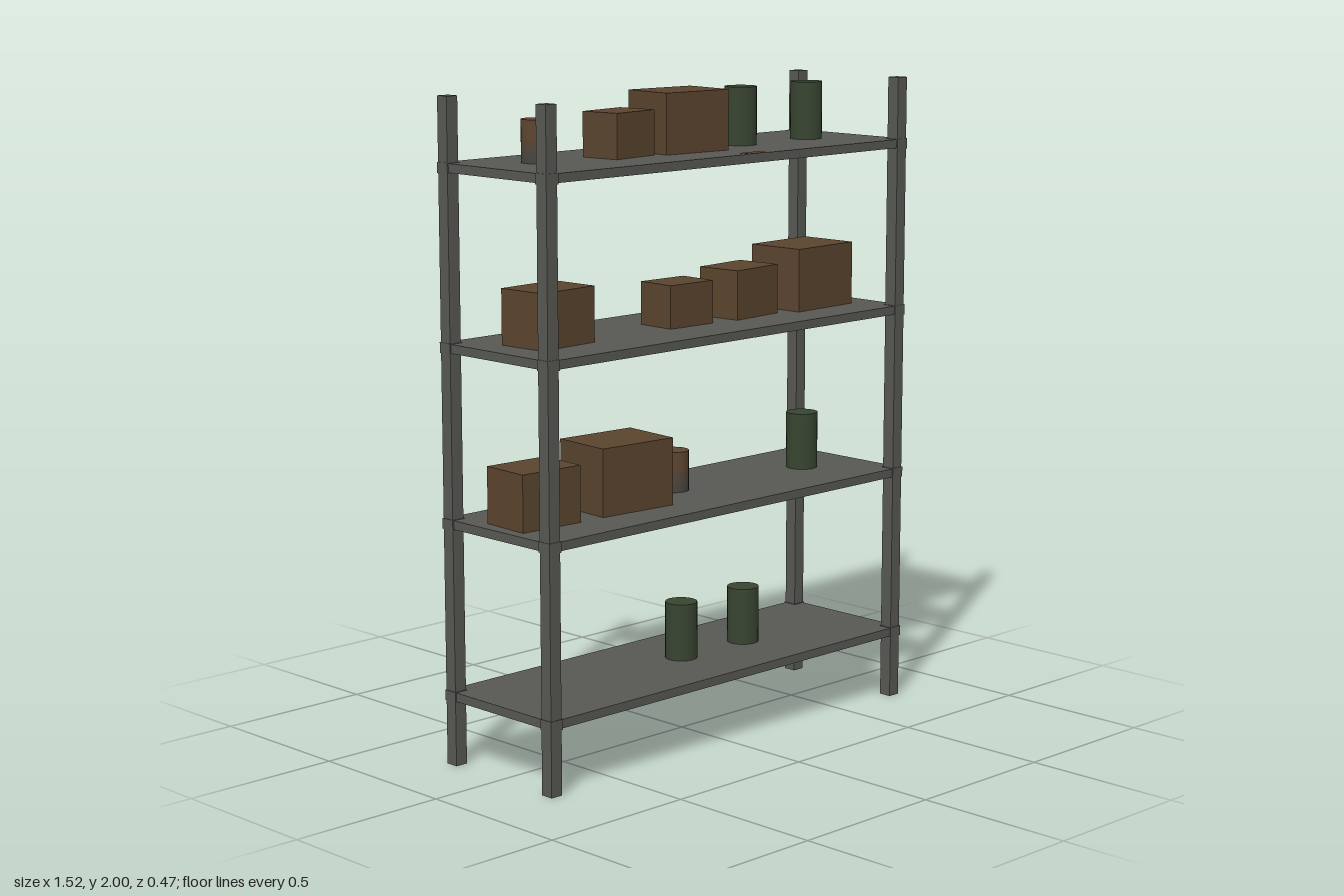
import * as THREE from 'three';

const flat = (name, color) => {
  const m = new THREE.MeshStandardMaterial({ color });
  m.name = name;
  return m;
};

export function createModel() {
  const steel = flat('grey steel', 0x575753);
  const cardboard = flat('brown cardboard', 0x5a442e);
  const green = flat('dark green', 0x384430);
  const rust = flat('rust brown', 0x5e4530);
  const rustFade = flat('faded rust', 0x51453a);
  const canGrey = flat('can grey', 0x474440);

  const model = new THREE.Group();
  model.name = 'storageShelf';

  const add = (name, geometry, material, x, y, z, turn = 0) => {
    const mesh = new THREE.Mesh(geometry, material);
    mesh.name = name;
    mesh.position.set(x, y, z);
    mesh.rotation.y = turn;
    model.add(mesh);
    return mesh;
  };

  // Four uprights, four boards, and a collar wherever they meet
  const levels = [0.228, 0.754, 1.28, 1.807];
  const post = new THREE.BoxGeometry(0.041, 2, 0.041);
  const collar = new THREE.BoxGeometry(0.046, 0.032, 0.046);
  const board = new THREE.BoxGeometry(1.516, 0.027, 0.464);
  for (const x of [-0.739, 0.739]) {
    for (const z of [-0.212, 0.212]) {
      add('post', post, steel, x, 1, z);
      for (const y of levels) add('collar', collar, steel, x, y - 0.0145, z);
    }
  }
  for (const y of levels) add('shelfBoard', board, steel, 0, y - 0.0135, 0);

  // Cartons: level, x, width, height, depth, turn
  const cartons = [
    [3, -0.262, 0.174, 0.135, 0.13, 0.13],
    [3, -0.014, 0.242, 0.183, 0.18, -0.083],
    [2, -0.547, 0.218, 0.167, 0.165, 0.06],
    [2, -0.021, 0.175, 0.132, 0.132, -0.03],
    [2, 0.248, 0.197, 0.153, 0.15, 0.09],
    [2, 0.535, 0.257, 0.197, 0.197, 0.04],
    [1, -0.609, 0.215, 0.172, 0.168, -0.06],
    [1, -0.275, 0.27, 0.207, 0.205, -0.08],
  ];
  for (const [level, x, w, h, d, turn] of cartons) {
    add('carton', new THREE.BoxGeometry(w, h, d), cardboard, x, levels[level] + h / 2, 0, turn);
  }

  // Tall green canisters: level, x
  const canister = new THREE.CylinderGeometry(0.05, 0.05, 0.179, 24);
  for (const [level, x] of [[3, 0.253], [3, 0.548], [1, 0.54], [0, -0.003], [0, 0.272]]) {
    add('canister', canister, green, x, levels[level] + 0.0895, 0);
  }

  // Short cans fading from rust at the top to grey at the foot
  const bands = [[canGrey, 0.032], [rustFade, 0.032], [rust, 0.062]];
  for (const [level, x, z] of [[3, -0.555, -0.034], [1, 0.003, -0.038]]) {
    let y = levels[level];
    for (const [material, h] of bands) {
      add('can', new THREE.CylinderGeometry(0.046, 0.046, h, 24), material, x, y + h / 2, z);
      y += h;
    }
  }

  // Rust patch at the front edge of the top board
  add('rustPatch', new THREE.BoxGeometry(0.08, 0.001, 0.038), rust, 0.092, levels[3] + 0.0006, 0.213);

  return model;
}
